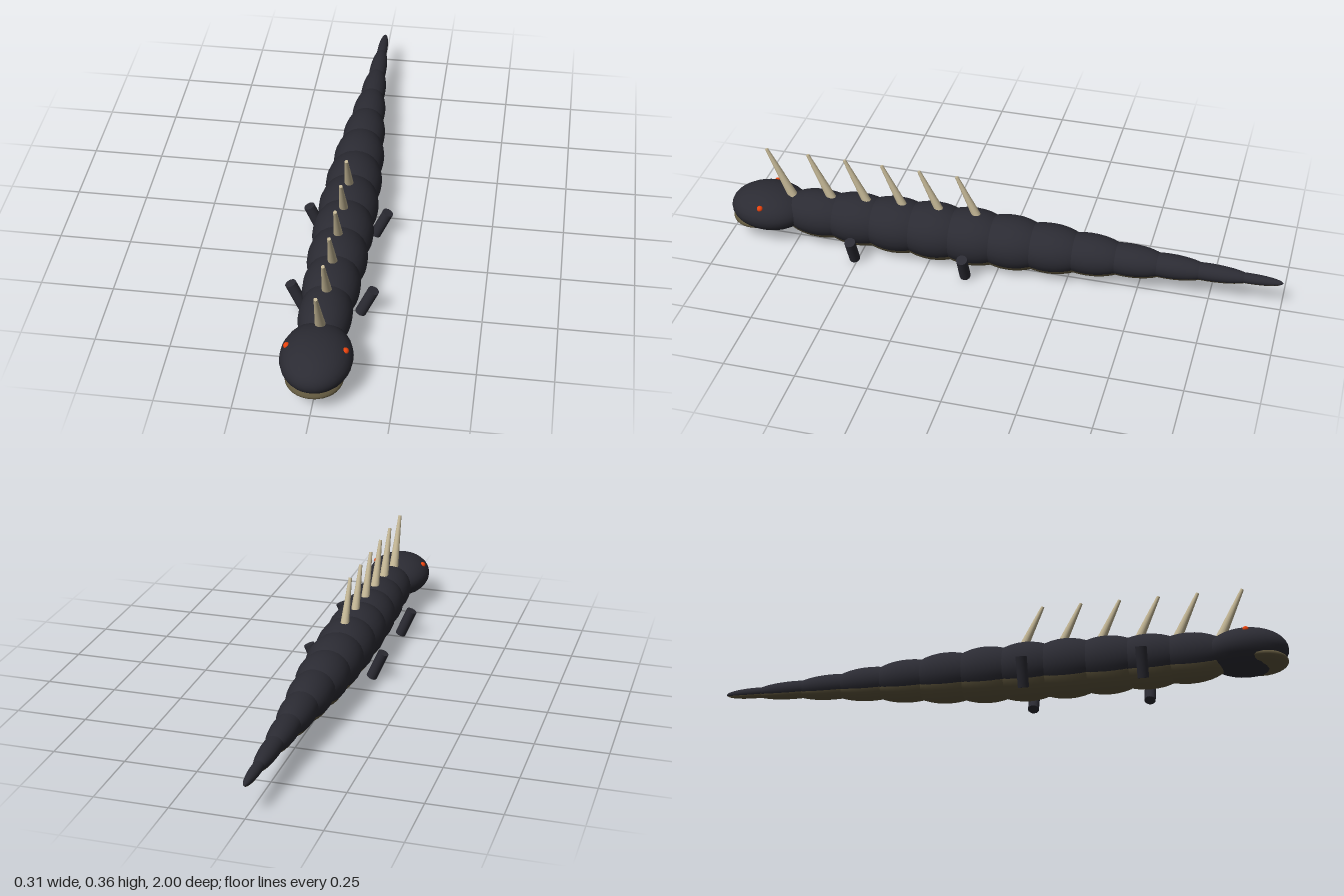
import * as THREE from 'three';

const mat = (name, color, side = THREE.FrontSide) => {
  const m = new THREE.MeshStandardMaterial({ color, side });
  m.name = name;
  return m;
};

export function createModel() {
  const model = new THREE.Group();
  model.name = 'spinedSerpent';
  const hide = mat('darkHide', 0x2b2b33);
  const bellyTone = mat('oliveBelly', 0x5f563d);
  const bone = mat('boneSpike', 0xc2b594);
  const ember = mat('emberEye', 0xff4a10);

  const ball = new THREE.SphereGeometry(1, 24, 18);
  ball.rotateX(Math.PI / 2); // poles along the body

  const add = (name, geometry, material, x, y, z) => {
    const mesh = new THREE.Mesh(geometry, material);
    mesh.name = name;
    mesh.position.set(x, y, z);
    model.add(mesh);
    return mesh;
  };
  const ellipsoid = (name, material, x, y, z, rx, ry, rz) => {
    const mesh = add(name, ball, material, x, y, z);
    mesh.scale.set(rx, ry, rz);
    return mesh;
  };
  // Tapered rod between two points
  const rod = (name, material, from, to, r0, r1) => {
    const a = new THREE.Vector3(...from), b = new THREE.Vector3(...to);
    const dir = b.clone().sub(a);
    const mid = a.clone().add(b).multiplyScalar(0.5);
    const mesh = add(name, new THREE.CylinderGeometry(r1, r0, dir.length(), 16), material, mid.x, mid.y, mid.z);
    mesh.quaternion.setFromUnitVectors(new THREE.Vector3(0, 1, 0), dir.normalize());
    return mesh;
  };

  // Overlapping body segments, each with a belly plate bulging beneath
  const radii = [0.088, 0.096, 0.102, 0.105, 0.104, 0.099, 0.09, 0.076, 0.06, 0.045, 0.032, 0.019];
  radii.forEach((r, i) => {
    const z = 0.66 - i * 0.1405;
    const length = i === radii.length - 1 ? 0.115 : 0.15;
    ellipsoid('bodySegment', hide, 0, 0.115, z, r, r * 0.96, length);
    ellipsoid('bellyPlate', bellyTone, 0, 0.115 - r * 0.24, z, r * 0.86, r * 0.81, length * 0.95);
  });

  // Head, lower jaw and eyes
  ellipsoid('head', hide, 0, 0.115, 0.855, 0.117, 0.078, 0.143);
  ellipsoid('jaw', bellyTone, 0, 0.072, 0.905, 0.093, 0.025, 0.09);
  for (const side of [-1, 1]) {
    ellipsoid('eye', ember, side * 0.093, 0.158, 0.86, 0.011, 0.011, 0.011);
  }

  // Forward-leaning back spikes
  const spike = (z, y) => rod('backSpike', bone, [0, y, z], [0, 0.356, z + (0.356 - y) * 0.47], 0.019, 0.006);
  spike(0.757, 0.15);
  for (let i = 0; i < 5; i++) spike(0.605 - i * 0.1365, 0.155);

  // Two pairs of short splayed legs
  for (const z of [0.51, 0.1]) {
    for (const side of [-1, 1]) {
      rod('leg', hide, [side * 0.096, 0.008, z], [side * 0.1385, 0.106, z], 0.0195, 0.0195);
    }
  }
  return model;
}
